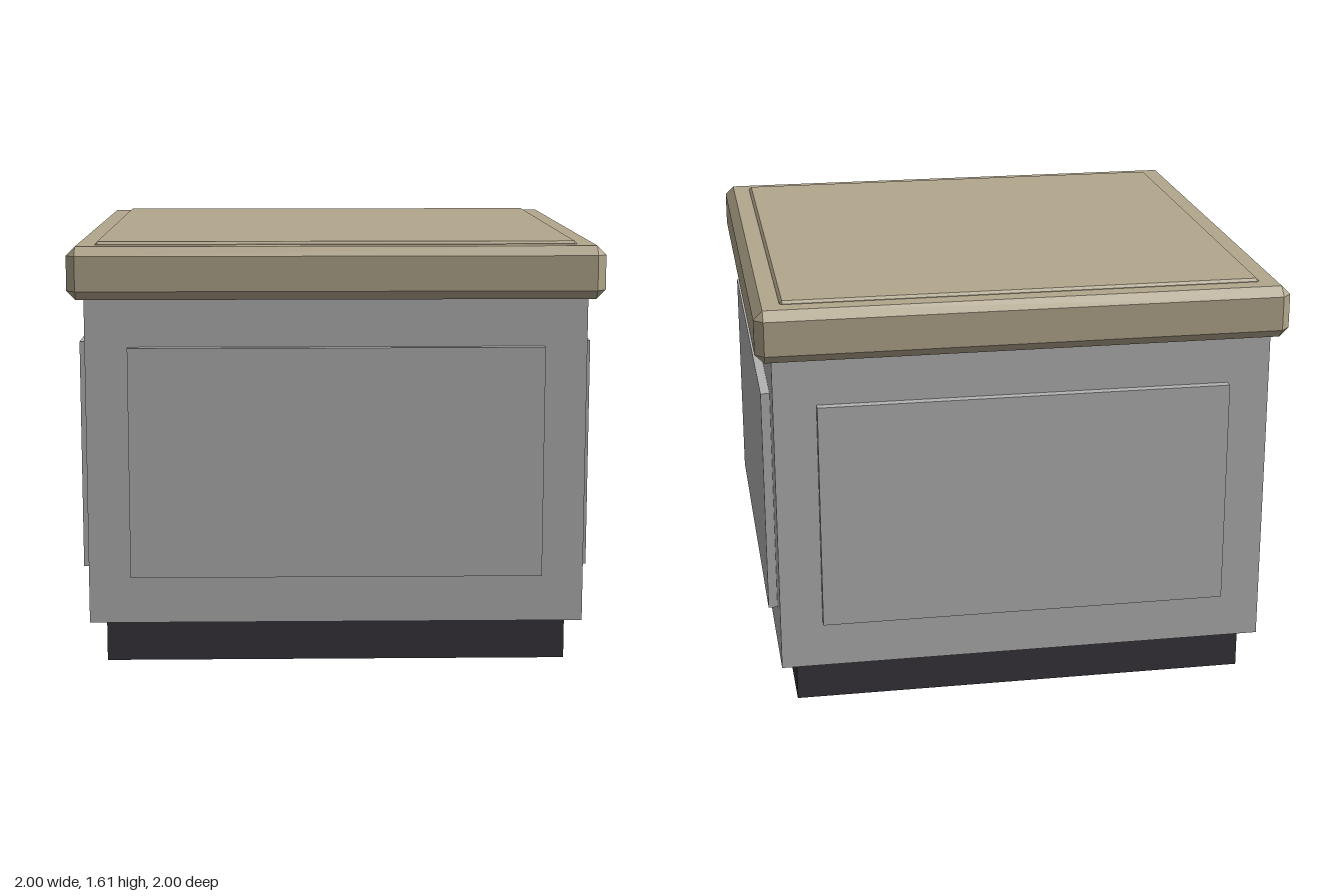
import * as THREE from 'three';
import { ConvexGeometry } from 'three/addons/geometries/ConvexGeometry.js';

const material = (name, color) => {
  const m = new THREE.MeshStandardMaterial({ color });
  m.name = name;
  return m;
};

// Box with every edge and corner cut flat by c
function chamferedBox(w, h, d, c) {
  const half = [w / 2, h / 2, d / 2];
  const points = [];
  for (const sx of [-1, 1]) for (const sy of [-1, 1]) for (const sz of [-1, 1]) {
    const s = [sx, sy, sz];
    for (let axis = 0; axis < 3; axis++) {
      points.push(new THREE.Vector3(...half.map((v, i) => s[i] * (i === axis ? v : v - c))));
    }
  }
  return new ConvexGeometry(points);
}

export function createModel() {
  const group = new THREE.Group();
  const stone = material('tan stone', 0xb2a78d);
  const paint = material('grey paint', 0xb2b2b2);
  const dark = material('dark plinth', 0x37353b);

  const add = (name, geometry, mat, x, y, z) => {
    const mesh = new THREE.Mesh(geometry, mat);
    mesh.name = name;
    mesh.position.set(x, y, z);
    group.add(mesh);
    return mesh;
  };

  // Recessed plinth and cabinet body
  add('plinth', new THREE.BoxGeometry(1.76, 0.165, 1.76), dark, 0, 0.0825, 0);
  add('cabinetBody', new THREE.BoxGeometry(1.88, 1.24, 1.88), paint, 0, 0.785, 0);

  // Raised panel on each of the four sides
  const panel = new THREE.BoxGeometry(1.56, 0.876, 0.06);
  ['frontPanel', 'leftPanel', 'backPanel', 'rightPanel'].forEach((name, i) => {
    const a = i * Math.PI / 2;
    add(name, panel, paint, Math.sin(a) * 0.944, 0.786, Math.cos(a) * 0.944).rotation.y = a;
  });

  // Worktop slab with a thin raised inlay
  add('worktop', chamferedBox(2, 0.198, 2, 0.034), stone, 0, 1.503, 0);
  add('worktopInlay', chamferedBox(1.8, 0.04, 1.8, 0.01), stone, 0, 1.594, 0);

  return group;
}
